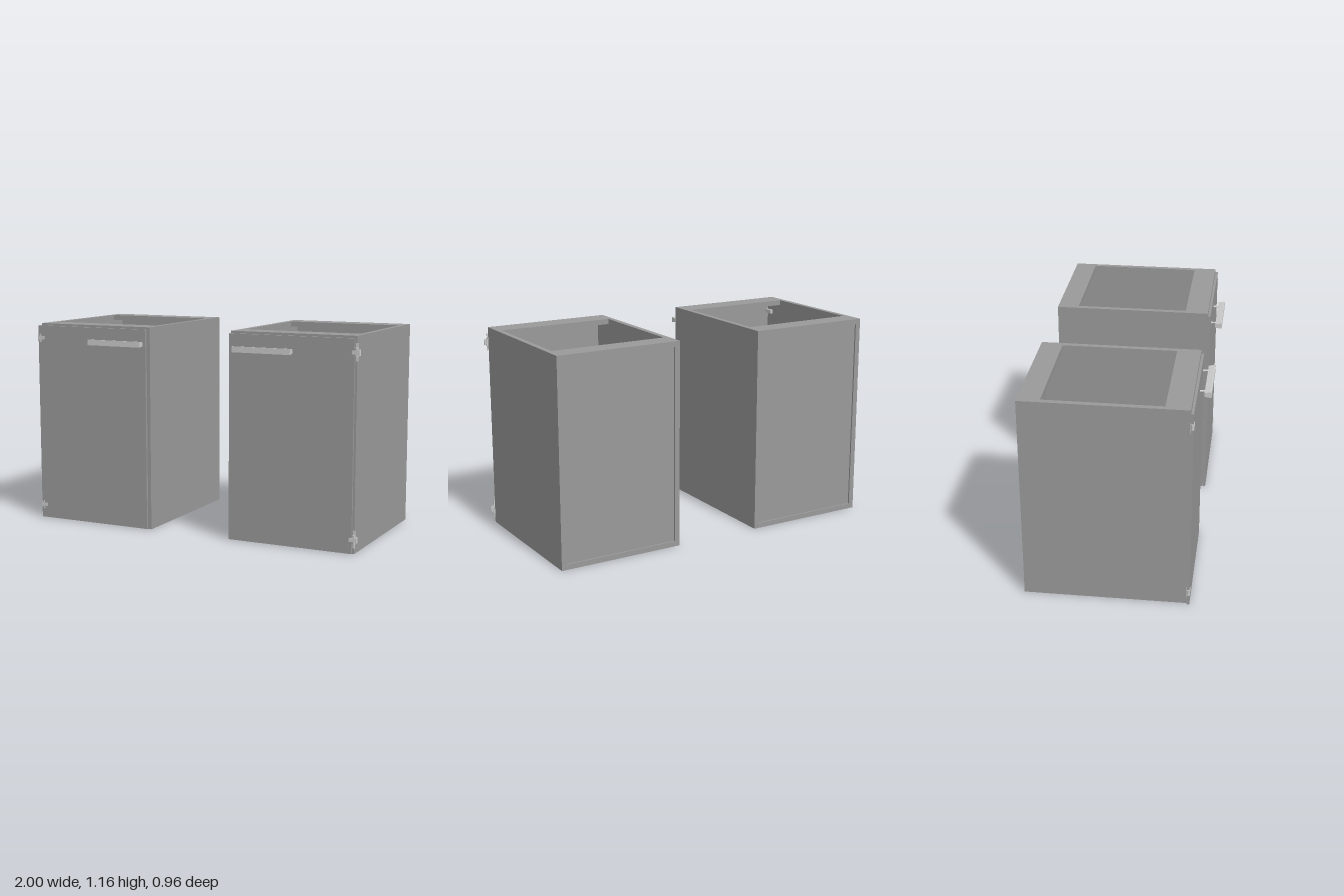
import * as THREE from 'three';

const panelGrey = new THREE.MeshStandardMaterial({ color: 0x9a9a9a, flatShading: true });
const metalGrey = new THREE.MeshStandardMaterial({ color: 0xc0c0c0, flatShading: true });

// Box given by its min and max corners
function box(parent, name, material, x0, x1, y0, y1, z0, z1) {
  const mesh = new THREE.Mesh(new THREE.BoxGeometry(x1 - x0, y1 - y0, z1 - z0), material);
  mesh.position.set((x0 + x1) / 2, (y0 + y1) / 2, (z0 + z1) / 2);
  mesh.name = name;
  parent.add(mesh);
}

// Metal rod along y, or along z
function rod(parent, name, radius, length, sides, x, y, z, alongZ) {
  const geo = new THREE.CylinderGeometry(radius, radius, length, sides);
  if (alongZ) geo.rotateX(Math.PI / 2);
  const mesh = new THREE.Mesh(geo, metalGrey);
  mesh.position.set(x, y, z);
  mesh.name = name;
  parent.add(mesh);
}

const H = 1.16, BACK = -0.48, FRONT = 0.4, T = 0.03;

// Open-topped carcass with two top rails and a recessed back panel
function makeCarcass(x0, x1) {
  const g = new THREE.Group();
  g.name = 'carcass';
  box(g, 'rightSidePanel', panelGrey, x0, x0 + T, 0, H, BACK, FRONT);
  box(g, 'leftSidePanel', panelGrey, x1 - T, x1, 0, H, BACK, FRONT);
  const a = x0 + T, b = x1 - T;
  box(g, 'bottomPanel', panelGrey, a, b, 0, T, BACK, FRONT);
  box(g, 'frontTopRail', panelGrey, a, b, H - T, H, 0.27, FRONT);
  box(g, 'backTopRail', panelGrey, a, b, H - T, H, BACK, -0.36);
  box(g, 'backPanel', panelGrey, a, b, T, H - T, BACK + 0.009, BACK + 0.02);
  return g;
}

// Bar handle with a flared section on two round posts
function makeHandle(x0, x1) {
  const g = new THREE.Group();
  g.name = 'handle';
  const y = 1.068;
  const section = new THREE.Shape([
    [-0.443, -0.011], [-0.474, -0.016], [-0.481, -0.016],
    [-0.481, 0.016], [-0.474, 0.016], [-0.443, 0.011],
  ].map(([u, v]) => new THREE.Vector2(u, v)));
  const geo = new THREE.ExtrudeGeometry(section, { depth: x1 - x0, bevelEnabled: false });
  geo.rotateY(Math.PI / 2);
  const bar = new THREE.Mesh(geo, metalGrey);
  bar.name = 'handleBar';
  bar.position.set(x0, y, 0);
  g.add(bar);
  for (const x of [x0 + 0.044, x1 - 0.044]) rod(g, 'handlePost', 0.006, 0.035, 12, x, y, 0.43, true);
  return g;
}

// Hinge at the outer edge of a cabinet; side is -1 or +1
function makeHinge(x, y, side) {
  const g = new THREE.Group();
  g.name = 'hinge';
  g.position.x = x;
  const span = (name, a, b, y0, y1, z0, z1) =>
    box(g, name, metalGrey, Math.min(a * side, b * side), Math.max(a * side, b * side), y0, y1, z0, z1);
  span('hingePlate', -0.005, 0.006, y - 0.048, y + 0.048, 0.4, 0.407);
  span('hingeLink', -0.024, 0.018, y - 0.01, y + 0.01, 0.404, 0.419);
  rod(g, 'hingeBarrel', 0.009, 0.048, 8, 0.002 * side, y, 0.409, false);
  rod(g, 'hingeKnuckle', 0.008, 0.032, 8, 0.015 * side, y, 0.41, false);
  // Arm on the inner face of the outer side panel
  span('hingeArm', -0.046, -0.03, y - 0.012, y + 0.012, 0.35, 0.402);
  return g;
}

export function createModel() {
  const model = new THREE.Group();
  model.name = 'cabinetPair';
  const cabinets = [
    { name: 'rightCabinet', side: -1, body: [-0.977, -0.255], door: [-0.993, -0.275], handle: [-0.614, -0.277], hinge: -0.977 },
    { name: 'leftCabinet', side: 1, body: [0.251, 0.977], door: [0.246, 0.967], handle: [0.294, 0.632], hinge: 0.977 },
  ];
  for (const c of cabinets) {
    const g = new THREE.Group();
    g.name = c.name;
    g.add(makeCarcass(...c.body));
    box(g, 'door', panelGrey, ...c.door, 0.003, 1.147, 0.402, 0.416);
    g.add(makeHandle(...c.handle));
    for (const y of [0.08, 1.075]) g.add(makeHinge(c.hinge, y, c.side));
    model.add(g);
  }
  return model;
}
